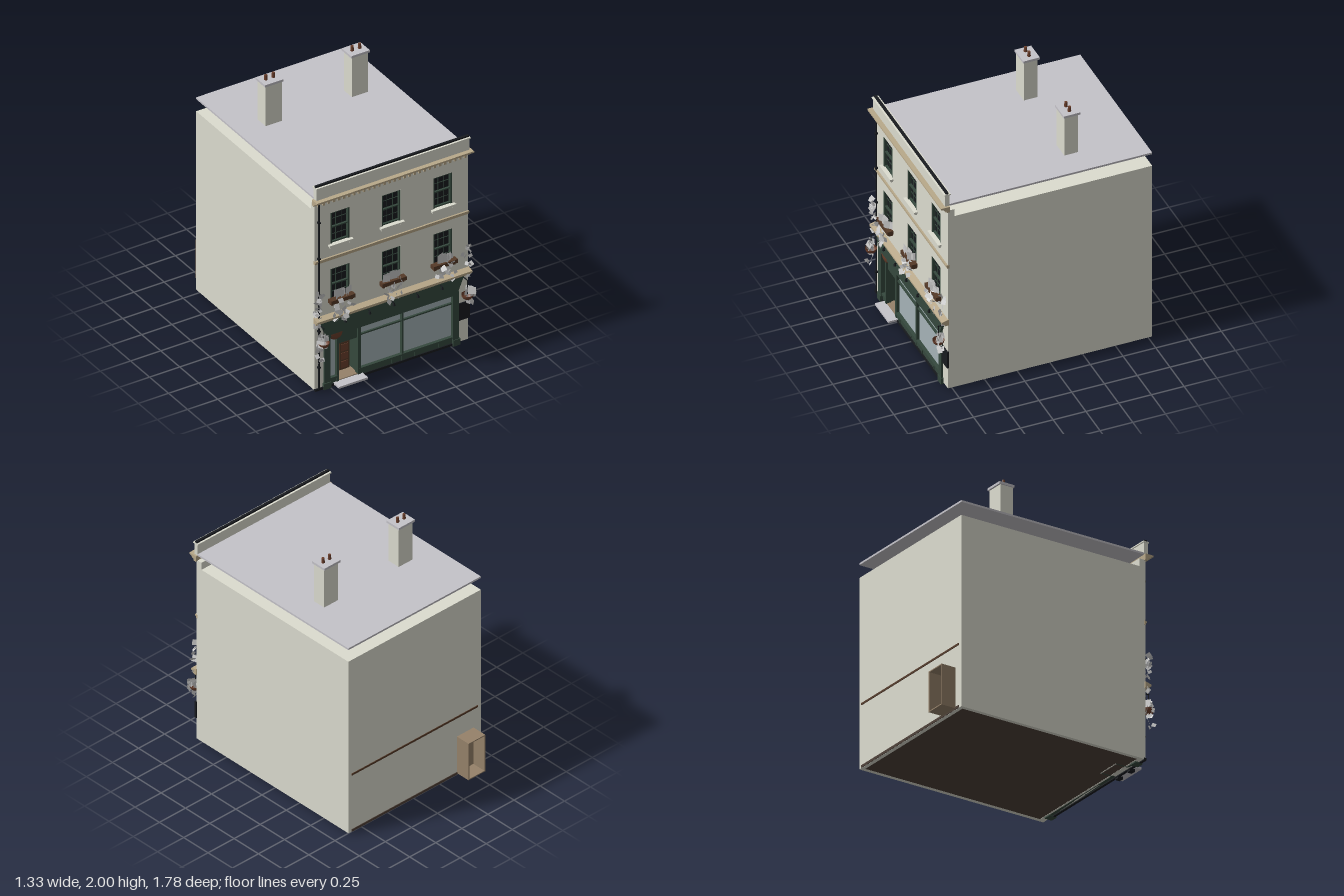
import * as THREE from 'three';
import { mergeGeometries } from 'three/addons/utils/BufferGeometryUtils.js';

const C = { cream: 0xdcdccf, tan: 0xb9a98a, green: 0x35483d, dark: 0x181b1f, glass: 0xa5b3b7,
  brown: 0x553a28, wood: 0x96826a, roof: 0xc5c3c9, grey: 0xcccccc, pot: 0x6b3f2c, floor: 0x4e4037 };

export function createModel() {
  const root = new THREE.Group();
  const mats = {};
  const mat = (c) => (mats[c] ??= new THREE.MeshStandardMaterial({ color: C[c], side: THREE.DoubleSide }));
  let parent = root;
  const group = (name) => {
    parent = new THREE.Group();
    parent.name = name;
    root.add(parent);
  };
  const add = (name, color, geo, x = 0, y = 0, z = 0) => {
    const m = new THREE.Mesh(geo, mat(color));
    m.name = name;
    m.position.set(x, y, z);
    parent.add(m);
    return m;
  };
  // box from its limits on each axis
  const box = (name, color, x0, x1, y0, y1, z0, z1) =>
    add(name, color, new THREE.BoxGeometry(x1 - x0, y1 - y0, z1 - z0), (x0 + x1) / 2, (y0 + y1) / 2, (z0 + z1) / 2);
  const rect = (P, x0, x1, y0, y1) => {
    const p = new P();
    p.moveTo(x0, y0); p.lineTo(x1, y0); p.lineTo(x1, y1); p.lineTo(x0, y1); p.closePath();
    return p;
  };
  // moulding: a (z, y) profile swept along x
  const moulding = (name, color, pts, x0, x1) => {
    const s = new THREE.Shape(pts.map(([z, y]) => new THREE.Vector2(-z, y)));
    const g = new THREE.ExtrudeGeometry(s, { depth: x1 - x0, bevelEnabled: false });
    g.rotateY(Math.PI / 2);
    return add(name, color, g, x0);
  };

  const windowXs = [-0.42, 0.005, 0.43];
  const floors = [[0.71, 0.98], [1.19, 1.445]];

  // main walls, floors and roof
  group('building');
  box('sideWall', 'cream', -0.63, -0.6, 0.02, 1.5, -0.77, 0.74);
  box('sideWall', 'cream', 0.61, 0.64, 0.02, 1.5, -0.77, 0.74);
  box('backWall', 'cream', -0.6, 0.61, 0.02, 1.5, -0.77, -0.74);
  box('ceiling', 'cream', -0.6, 0.61, 1.47, 1.5, -0.74, 0.74);
  box('groundFloor', 'floor', -0.6, 0.61, 0.021, 0.04, -0.775, 0.74);
  box('upperFloor', 'brown', -0.6, 0.61, 0.505, 0.52, -0.775, 0.74);
  box('roofSlab', 'roof', -0.63, 0.64, 1.6, 1.615, -0.77, 0.78);

  // facade with window and shop openings
  const facade = rect(THREE.Shape, -0.63, 0.64, 0.02, 1.56);
  for (const x of windowXs) for (const [a, b] of floors) facade.holes.push(rect(THREE.Path, x - 0.078, x + 0.078, a, b));
  facade.holes.push(rect(THREE.Path, -0.53, 0.53, 0.03, 0.46));
  add('facade', 'cream', new THREE.ExtrudeGeometry(facade, { depth: 0.05, bevelEnabled: false }), 0, 0, 0.74);

  // sash windows
  group('windows');
  for (const x of windowXs) for (const [a, b] of floors) {
    const h = b - a, mid = (a + b) / 2;
    box('windowPane', 'dark', x - 0.078, x + 0.078, a, b, 0.755, 0.765);
    for (const s of [-1, 1]) box('windowStile', 'green', x + s * 0.072 - 0.006, x + s * 0.072 + 0.006, a, b, 0.76, 0.788);
    for (const y of [a + 0.006, mid, b - 0.006]) box('windowRail', 'green', x - 0.07, x + 0.07, y - 0.005, y + 0.005, 0.76, 0.782);
    for (const s of [-1, 1]) box('glazingBar', 'green', x + s * 0.024 - 0.0015, x + s * 0.024 + 0.0015, a, b, 0.76, 0.77);
    for (const s of [-1, 1]) box('glazingBar', 'green', x - 0.07, x + 0.07, mid + s * h / 4 - 0.0015, mid + s * h / 4 + 0.0015, 0.76, 0.77);
    if (a > 1) {
      box('windowSill', 'cream', x - 0.098, x + 0.098, 1.175, 1.19, 0.76, 0.815);
      for (const s of [-1, 1]) box('sillBracket', 'cream', x + s * 0.08 - 0.008, x + s * 0.08 + 0.008, 1.16, 1.175, 0.785, 0.805);
    } else {
      box('windowBox', 'brown', x - 0.1, x + 0.1, 0.712, 0.742, 0.785, 0.835);
      for (const s of [-1, 1]) box('boxBracket', 'brown', x + s * 0.08 - 0.008, x + s * 0.08 + 0.008, 0.695, 0.712, 0.785, 0.82);
    }
  }

  // string course, dentil cornice and parapet
  group('mouldings');
  box('stringCourse', 'tan', -0.632, 0.642, 1.06, 1.075, 0.78, 0.796);
  box('stringCourseTop', 'tan', -0.632, 0.642, 1.075, 1.088, 0.78, 0.803);
  moulding('cornice', 'tan', [[0.78, 1.555], [0.803, 1.555], [0.806, 1.568], [0.822, 1.574], [0.828, 1.586], [0.848, 1.59], [0.848, 1.602], [0.78, 1.602]], -0.647, 0.655);
  for (let i = 0; i < 30; i++) {
    const x = -0.6 + i * 0.0418;
    box('dentil', 'tan', x - 0.009, x + 0.009, 1.535, 1.556, 0.785, 0.8);
  }
  box('parapet', 'cream', -0.63, 0.64, 1.602, 1.7, 0.778, 0.812);
  box('parapetCoping', 'cream', -0.635, 0.645, 1.694, 1.704, 0.77, 0.82);
  box('parapetCap', 'dark', -0.63, 0.64, 1.704, 1.716, 0.785, 0.805);

  // chimneys with paired pots
  group('chimneys');
  for (const x of [-0.352, 0.362]) {
    box('chimneyStack', 'cream', x - 0.067, x + 0.067, 1.61, 1.945, -0.295, -0.19);
    box('chimneyCap', 'roof', x - 0.077, x + 0.077, 1.943, 1.961, -0.308, -0.182);
    for (const s of [-1, 1]) add('chimneyPot', 'pot', new THREE.CylinderGeometry(0.011, 0.013, 0.04, 12), x + s * 0.031, 1.98, -0.245);
  }

  // shopfront
  group('shopfront');
  const fascia = new THREE.Shape([[-0.545, 0.45], [0.545, 0.45], [0.595, 0.57], [-0.595, 0.57]].map((p) => new THREE.Vector2(...p)));
  add('fascia', 'green', new THREE.ExtrudeGeometry(fascia, { depth: 0.035, bevelEnabled: false }), 0, 0, 0.775);
  moulding('shopCornice', 'tan', [[0.785, 0.57], [0.815, 0.57], [0.82, 0.585], [0.838, 0.592], [0.838, 0.606], [0.785, 0.62]], -0.637, 0.647);
  for (const s of [-1, 1]) {
    box('pilaster', 'green', s * 0.532 - 0.025, s * 0.532 + 0.025, 0.02, 0.45, 0.75, 0.805);
    box('pilasterBase', 'green', s * 0.535 - 0.03, s * 0.535 + 0.03, 0.01, 0.06, 0.75, 0.812);
  }
  box('headRail', 'green', -0.55, 0.55, 0.425, 0.452, 0.75, 0.803);
  box('mainGlass', 'glass', -0.26, 0.51, 0.07, 0.43, 0.768, 0.774);
  box('sideGlass', 'glass', -0.51, -0.44, 0.07, 0.43, 0.768, 0.774);
  for (const [x0, x1] of [[-0.51, -0.44], [-0.265, 0.51]]) {
    box('stallRiser', 'green', x0, x1, 0.02, 0.07, 0.755, 0.792);
    box('bottomRail', 'green', x0, x1, 0.068, 0.084, 0.755, 0.8);
  }
  for (const x of [-0.2, 0.01, 0.2, 0.4]) box('riserBead', 'green', x - 0.004, x + 0.004, 0.025, 0.07, 0.785, 0.798);
  box('transom', 'green', -0.26, 0.51, 0.35, 0.361, 0.765, 0.79);
  box('blindRail', 'brown', -0.255, 0.505, 0.42, 0.428, 0.765, 0.785);
  for (const [x, w] of [[0.095, 0.007], [-0.264, 0.012], [-0.442, 0.01]]) box('mullion', 'green', x - w, x + w, 0.02, 0.43, 0.755, 0.798);
  for (let i = 0; i < 5; i++) {
    const x = -0.4 + i * 0.2;
    box('lampArm', 'dark', x - 0.003, x + 0.003, 0.552, 0.558, 0.805, 0.832);
    add('lampShade', 'dark', new THREE.CylinderGeometry(0.005, 0.011, 0.022, 10), x, 0.545, 0.832);
  }

  // recessed doorway
  group('doorway');
  box('lobbyBack', 'cream', -0.45, -0.255, 0.02, 0.45, 0.66, 0.67);
  for (const x of [-0.448, -0.262]) box('lobbySide', 'green', x - 0.005, x + 0.005, 0.02, 0.45, 0.66, 0.76);
  box('lobbyFloor', 'wood', -0.45, -0.255, 0.025, 0.042, 0.66, 0.79);
  box('doorHead', 'green', -0.45, -0.255, 0.338, 0.44, 0.755, 0.785);
  box('door', 'brown', -0.362, -0.28, 0.04, 0.34, 0.67, 0.69);
  for (let i = 0; i < 4; i++) box('doorPanel', 'pot', -0.35, -0.292, 0.055 + i * 0.07, 0.11 + i * 0.07, 0.688, 0.694);
  box('doorPost', 'green', -0.385, -0.37, 0.04, 0.34, 0.67, 0.7);
  box('doorstep', 'roof', -0.475, -0.235, 0.02, 0.036, 0.785, 0.865);
  for (const x of [-0.43, -0.28]) box('stepFoot', 'dark', x - 0.02, x + 0.02, 0, 0.022, 0.785, 0.825);
  box('plinthStrip', 'dark', -0.63, 0.56, 0.012, 0.03, 0.78, 0.8);

  // drainpipe, wall board and rear cupboard
  group('fittings');
  add('drainpipe', 'dark', new THREE.CylinderGeometry(0.007, 0.007, 1.53, 10), -0.602, 0.79, 0.8);
  for (let y = 0.2; y < 1.5; y += 0.3) box('pipeClip', 'dark', -0.612, -0.592, y, y + 0.012, 0.785, 0.81);
  box('wallBoard', 'dark', 0.555, 0.648, 0.2, 0.34, 0.785, 0.8);
  for (const x of [-0.56, -0.408]) box('cupboardSide', 'wood', x, x + 0.008, 0.03, 0.345, -0.89, -0.77);
  for (const y of [0.03, 0.337]) box('cupboardShelf', 'wood', -0.552, -0.408, y, y + 0.008, -0.89, -0.77);
  box('cupboardBack', 'wood', -0.552, -0.408, 0.038, 0.337, -0.776, -0.77);

  // hanging bowls
  const bowl = (name, r, x, y, z) =>
    add(name, 'pot', new THREE.SphereGeometry(r, 20, 8, 0, Math.PI * 2, Math.PI / 2, Math.PI / 2), x, y, z);
  for (const x of [-0.59, 0.6]) {
    bowl('hangingBasket', 0.043, x, 0.435, 0.845);
    box('basketBracket', 'dark', x - 0.003, x + 0.003, 0.545, 0.551, 0.785, 0.85);
    box('basketChain', 'dark', x - 0.002, x + 0.002, 0.435, 0.55, 0.843, 0.847);
  }
  bowl('doorBowl', 0.062, -0.455, 0.45, 0.79).scale.z = 0.35;

  // foliage: seeded scatter of small leaf cards
  group('foliage');
  let seed = 7;
  const rnd = (a, b) => {
    seed = (seed * 16807) % 2147483647;
    return a + (b - a) * (seed / 2147483647);
  };
  const leaves = (name, n, x, y, z, size, tilt) => {
    const cards = [];
    for (let i = 0; i < n; i++) {
      const s = rnd(...size);
      const g = new THREE.PlaneGeometry(s, s * rnd(0.8, 1.2));
      g.rotateZ(rnd(-tilt, tilt)).rotateX(rnd(-tilt, tilt)).rotateY(rnd(-1, 1));
      cards.push(g.translate(rnd(...x), rnd(...y), rnd(...z)));
    }
    add(name, 'grey', mergeGeometries(cards));
  };
  for (const x of windowXs) {
    leaves('windowBoxPlants', 8, [x - 0.075, x + 0.075], [0.765, 0.785], [0.8, 0.825], [0.045, 0.065], 0.05);
    leaves('trailingPlants', 20, [x - 0.08, x + 0.08], [0.57, 0.74], [0.82, 0.852], [0.022, 0.042], 0.7);
  }
  for (const [x, n] of [[-0.612, 22], [0.615, 12]]) {
    leaves('climbingPlant', n, [x - 0.03, x + 0.025], [0.56, 0.835], [0.8, 0.84], [0.025, 0.045], 0.7);
    leaves('basketPlants', 9, [x - 0.02, x + 0.035], [0.43, 0.48], [0.825, 0.875], [0.035, 0.055], 0.3);
    leaves('basketTrails', n / 2, [x - 0.025, x + 0.03], [x < 0 ? 0.28 : 0.36, 0.43], [0.82, 0.865], [0.025, 0.04], 0.7);
  }
  return root;
}
